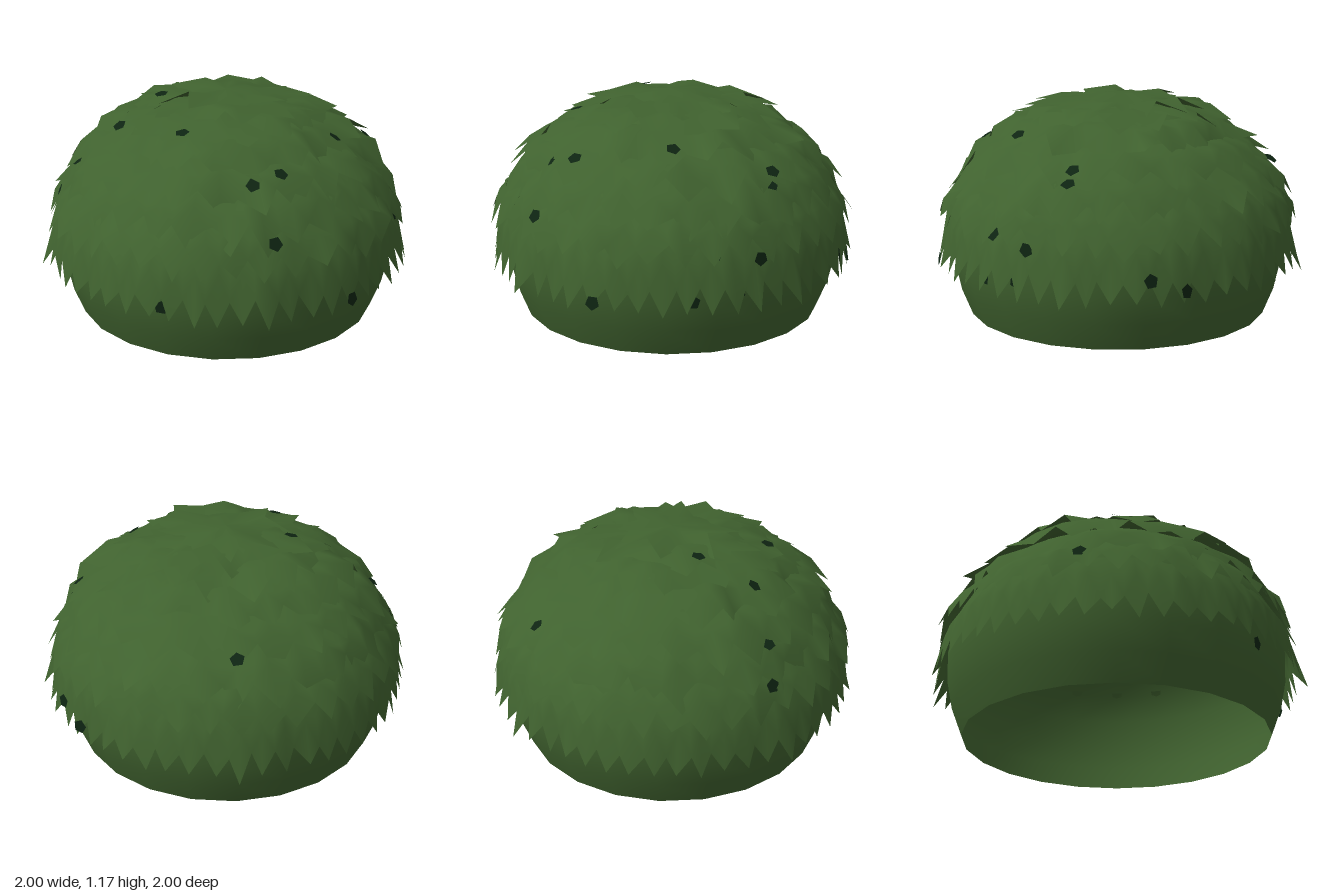
import * as THREE from 'three';

const leafGreen = new THREE.MeshStandardMaterial({ color: 0x40622f, side: THREE.DoubleSide });
leafGreen.name = 'leaf green';
const gapGreen = new THREE.MeshStandardMaterial({ color: 0x0e2412, side: THREE.DoubleSide });
gapGreen.name = 'dark gap green';

let seed = 7;
function rand() {
  seed = (seed * 16807) % 2147483647;
  return seed / 2147483647 - 0.5;
}

// Skirt of leaves: rows are [radius, height] from top to tips; the last row
// alternates between the valley (row 2) and the tip (row 3).
function leafSkirt(name, n, rows, jitter, pinned = false) {
  const cols = n * 2;
  const pos = [];
  const index = [];
  const [top, mid, valley, tip] = rows;
  for (let r = 0; r < 3; r++) {
    for (let c = 0; c < cols; c++) {
      const isTip = r === 2 && c % 2 === 0;
      const isPinned = pinned && isTip && c % (cols / 4) === 0;
      let [rad, y] = r === 0 ? top : r === 1 ? mid : isTip ? tip : valley;
      let a = (c / cols) * Math.PI * 2;
      if (isPinned) {
        rad = 1;
        y = 0.25;
      } else if (r > 0) {
        const k = r === 2 ? 1 : 0.35;
        a += (rand() * k * 2.5) / cols;
        rad += rand() * jitter * k;
        y += rand() * jitter * k * 1.3;
      }
      pos.push(Math.sin(a) * rad, y, Math.cos(a) * rad);
    }
  }
  for (let r = 0; r < 2; r++) {
    for (let c = 0; c < cols; c++) {
      const d = (c + 1) % cols;
      const tl = r * cols + c, tr = r * cols + d;
      const bl = tl + cols, br = tr + cols;
      // Split towards the valleys so every tip is a clean point
      if (c % 2) index.push(tl, bl, tr, tr, bl, br);
      else index.push(tl, bl, br, tl, br, tr);
    }
  }
  const g = new THREE.BufferGeometry();
  g.setAttribute('position', new THREE.Float32BufferAttribute(pos, 3));
  g.setIndex(index);
  g.computeVertexNormals();
  const mesh = new THREE.Mesh(g, leafGreen);
  mesh.name = name;
  return mesh;
}

export function createModel() {
  const bush = new THREE.Group();
  bush.name = 'bush';

  // Hollow core, open at the bottom
  const profile = [
    [0.8, 0], [0.855, 0.14], [0.885, 0.28], [0.895, 0.45], [0.865, 0.6],
    [0.78, 0.75], [0.64, 0.9], [0.45, 1.02], [0.22, 1.09], [0, 1.11],
  ].map(([x, y]) => new THREE.Vector2(x, y));
  const core = new THREE.Mesh(new THREE.LatheGeometry(profile, 22), leafGreen);
  core.name = 'core';
  bush.add(core);

  // Overlapping leaf tiers, bottom to crown
  const tiers = [
    [52, [[0.85, 0.62], [0.92, 0.5], [0.94, 0.37], [0.965, 0.27]], 0.03, true],
    [40, [[0.79, 0.75], [0.88, 0.66], [0.925, 0.59], [0.955, 0.5]], 0.04],
    [32, [[0.68, 0.87], [0.8, 0.79], [0.86, 0.71], [0.91, 0.63]], 0.06],
    [26, [[0.58, 0.96], [0.7, 0.92], [0.77, 0.86], [0.83, 0.78]], 0.06],
    [22, [[0.42, 1.05], [0.55, 1.03], [0.64, 0.97], [0.73, 0.91]], 0.07],
    [17, [[0.25, 1.1], [0.4, 1.095], [0.5, 1.06], [0.6, 1.01]], 0.07],
    [12, [[0.12, 1.13], [0.26, 1.13], [0.36, 1.11], [0.48, 1.07]], 0.06],
    [8, [[0, 1.16], [0.13, 1.155], [0.22, 1.15], [0.36, 1.125]], 0.04],
  ];
  tiers.forEach(([n, rows, jitter, pinned], i) => {
    bush.add(leafSkirt(`leafTier${i + 1}`, n, rows, jitter, pinned));
  });

  // Dark gaps between leaves, dropped onto the surface along an axis
  const gaps = new THREE.Group();
  gaps.name = 'leafGaps';
  const spots = [
    ['z', -0.47, 0.3], ['z', 0.45, 0.3], ['z', -0.02, 0.88], ['z', 0.05, 0.64],
    ['x', 0.27, 0.32], ['x', 0.47, 0.3], ['x', -0.4, 0.38], ['x', -0.55, 0.32],
    ['x', 0.19, 0.5], ['x', 0.39, 0.54], ['x', 0.02, 0.8],
    ['y', -0.88, -0.05], ['y', -0.78, 0], ['y', -0.57, 0.08], ['y', -0.33, -0.08],
    ['y', -0.3, 0.4], ['y', 0.12, 0.7], ['y', 0.77, 0], ['y', 0, -0.82], ['y', 0.48, 0.38],
  ];
  const axes = {
    x: (u, v) => [new THREE.Vector3(3, v, u), new THREE.Vector3(-1, 0, 0)],
    y: (u, v) => [new THREE.Vector3(u, 3, v), new THREE.Vector3(0, -1, 0)],
    z: (u, v) => [new THREE.Vector3(u, v, 3), new THREE.Vector3(0, 0, -1)],
  };
  bush.updateMatrixWorld(true);
  const caster = new THREE.Raycaster();
  for (const [axis, u, v] of spots) {
    const [from, dir] = axes[axis](u, v);
    caster.set(from, dir);
    const hit = caster.intersectObjects(bush.children, false)[0];
    if (!hit) continue;
    const normal = hit.face.normal.clone();
    if (normal.dot(dir) > 0) normal.negate();
    const gap = new THREE.Mesh(new THREE.CircleGeometry(0.037, 5, rand() * 3), gapGreen);
    gap.name = 'leafGap';
    gap.position.copy(hit.point).addScaledVector(normal, 0.006);
    gap.lookAt(gap.position.clone().add(normal));
    gaps.add(gap);
  }
  bush.add(gaps);
  return bush;
}
